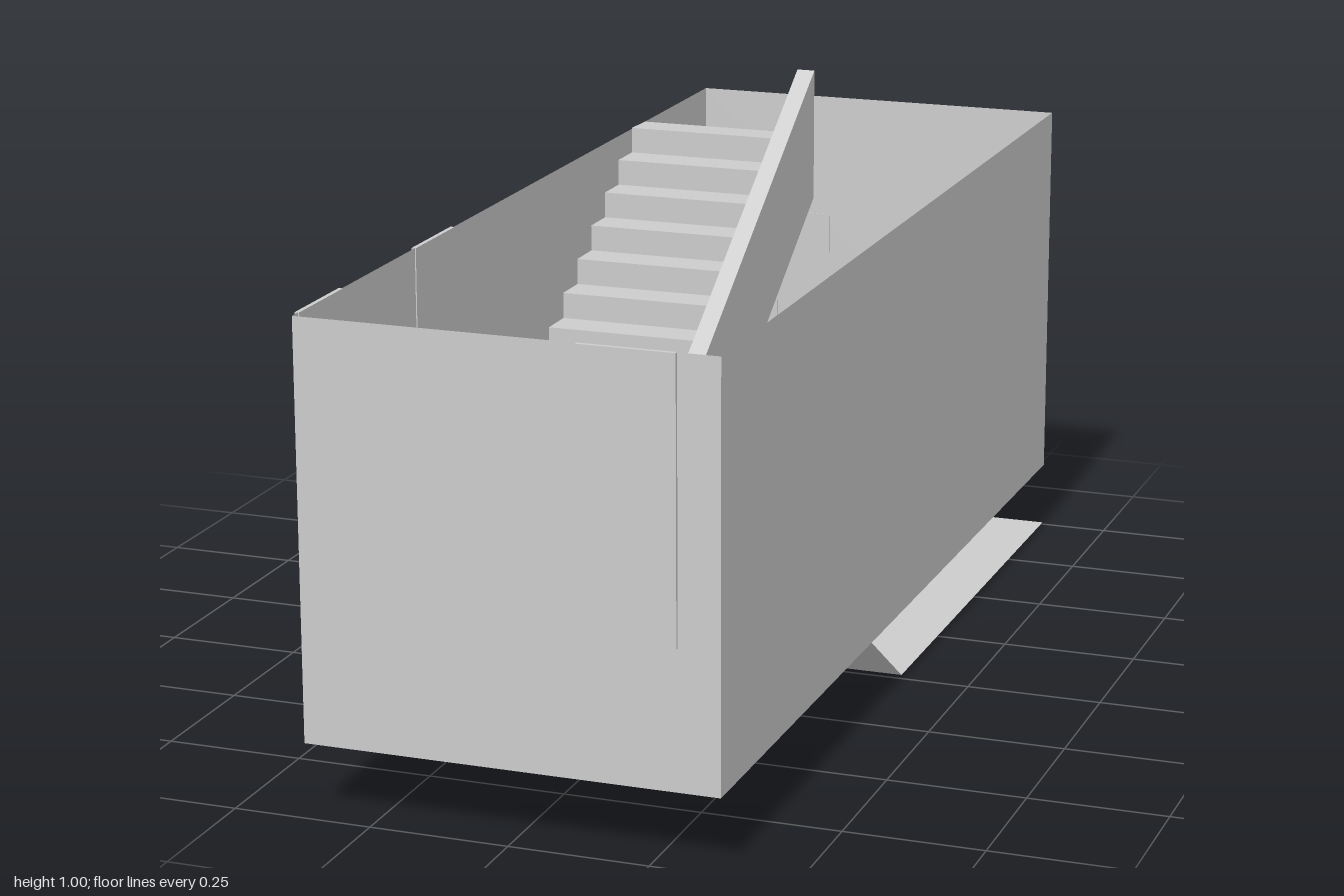
import * as THREE from 'three';

const grey = new THREE.MeshStandardMaterial({ color: 0xcccccc, side: THREE.DoubleSide });
grey.name = 'plaster grey';

// Room limits, stair well edges and step size
const X0 = -0.37, X1 = 0.372, Z0 = -0.99, Z1 = 0.993;
const GAP = 0.05, SLOT = 0.015;
const RUN = 0.0742, RISE = 0.0495;
const LOW = 0.132, MID = 0.38, TOP = 0.873, SLAB = 0.125;

export function createModel() {
  const model = new THREE.Group();
  model.name = 'stairwell';

  const add = (name, geometry) => {
    const mesh = new THREE.Mesh(geometry, grey);
    mesh.name = name;
    model.add(mesh);
    return mesh;
  };

  const box = (name, x0, x1, y0, y1, z0, z1) =>
    add(name, new THREE.BoxGeometry(x1 - x0, y1 - y0, z1 - z0))
      .position.set((x0 + x1) / 2, (y0 + y1) / 2, (z0 + z1) / 2);

  // Thin folded sheet: a [z, y] path swept from xa to xb
  const sheet = (name, path, xa, xb) => {
    const pos = [];
    for (let i = 0; i < path.length - 1; i++) {
      let [p, q] = [path[i], path[i + 1]];
      if (q[0] < p[0]) [p, q] = [q, p];
      const a = [xa, p[1], p[0]], b = [xb, p[1], p[0]];
      const c = [xb, q[1], q[0]], d = [xa, q[1], q[0]];
      pos.push(...a, ...d, ...c, ...a, ...c, ...b);
    }
    const g = new THREE.BufferGeometry();
    g.setAttribute('position', new THREE.Float32BufferAttribute(pos, 3));
    g.computeVertexNormals();
    add(name, g);
  };

  // Solid slice: a closed [z, y] outline extruded from xa to xb
  const slice = (name, outline, xa, xb) => {
    const shape = new THREE.Shape(outline.map(([z, y]) => new THREE.Vector2(z, y)));
    const g = new THREE.ExtrudeGeometry(shape, { depth: xb - xa, bevelEnabled: false });
    g.rotateY(-Math.PI / 2).translate(xb, 0, 0);
    add(name, g);
  };

  // Stepped path from z, y in direction dir
  const steps = (z, y, count, dir) => {
    const path = [];
    for (let i = 0; i < count; i++) {
      path.push([z + dir * i * RUN, y + i * RISE], [z + dir * i * RUN, y + (i + 1) * RISE]);
    }
    return path;
  };

  // Four thin outer walls, open at the top and bottom
  const wall = (name, width, x, z, turn) => {
    const m = add(name, new THREE.PlaneGeometry(width, TOP - LOW));
    m.position.set(x, (TOP + LOW) / 2, z);
    m.rotation.y = turn;
  };
  const cx = (X0 + X1) / 2, cz = (Z0 + Z1) / 2;
  wall('frontWall', X1 - X0, cx, Z1, 0);
  wall('backWall', X1 - X0, cx, Z0, Math.PI);
  wall('leftWall', Z1 - Z0, X1, cz, Math.PI / 2);
  wall('rightWall', Z1 - Z0, X0, cz, -Math.PI / 2);

  // Upper flight with the half landing, and its soffit
  const upZ = 0.11, upEnd = upZ - 10 * RUN;
  sheet('upperFlight', [[Z1, MID], ...steps(upZ, MID, 10, -1), [upEnd, TOP]], X0, -GAP);
  sheet('upperSoffit', [[Z1, MID - SLAB], [upZ, MID - SLAB], [upEnd, TOP - SLAB]], X0, -GAP);

  // Lower flight with both landings, and its soffit
  const lowEnd = 5 * RUN;
  sheet('lowerFlight', [[Z0, LOW], ...steps(0, LOW, 5, 1), [Z1, MID]], GAP, X1);
  sheet('lowerSoffit',
    [[Z0, LOW - SLAB], [0, LOW - SLAB], [lowEnd, MID - SLAB], [Z1, MID - SLAB]], GAP, X1);

  // Landing pieces joining the two sides
  for (const drop of [0, SLAB]) {
    const part = drop ? 'Soffit' : 'Floor';
    sheet('halfLanding' + part, [[0.65, MID - drop], [Z1, MID - drop]], -GAP, GAP);
    sheet('entryLanding' + part, [[Z0, LOW - drop], [-0.63, LOW - drop]], X0, GAP);
  }

  // Parapet looping around the narrow well
  const b = MID - SLAB - 0.005, t = MID + SLAB;
  slice('upperParapet', [[upEnd, 0.745], [upZ, b], [0.67, b], [0.67, t], [upZ, t], [upEnd, 1]],
    -GAP, -SLOT);
  slice('lowerParapet', [[-0.67, 0], [0, 0], [lowEnd, b], [0.67, b], [0.67, t], [lowEnd, t],
    [0, 0.257], [-0.67, 0.257]], SLOT, GAP);
  box('frontParapetEnd', -SLOT, SLOT, b, t, 0.635, 0.67);
  box('backParapetEnd', -GAP, SLOT, 0, 0.257, -0.67, -0.632);

  // Doors standing slightly proud of the walls
  box('frontDoor', 0.127, 0.298, MID, TOP, Z1 - 0.002, Z1 + 0.006);
  for (const z of [0.33, 0.8]) box('sideDoor', X0 - 0.006, X0 + 0.002, MID, TOP, z, z + 0.17);
  box('entryDoorLeaf', -0.324, -0.211, LOW, 0.626, Z0 - 0.008, Z0 + 0.002);
  box('entryDoorLeaf', -0.209, -0.097, LOW, 0.626, Z0 - 0.006, Z0 + 0.002);

  return model;
}
